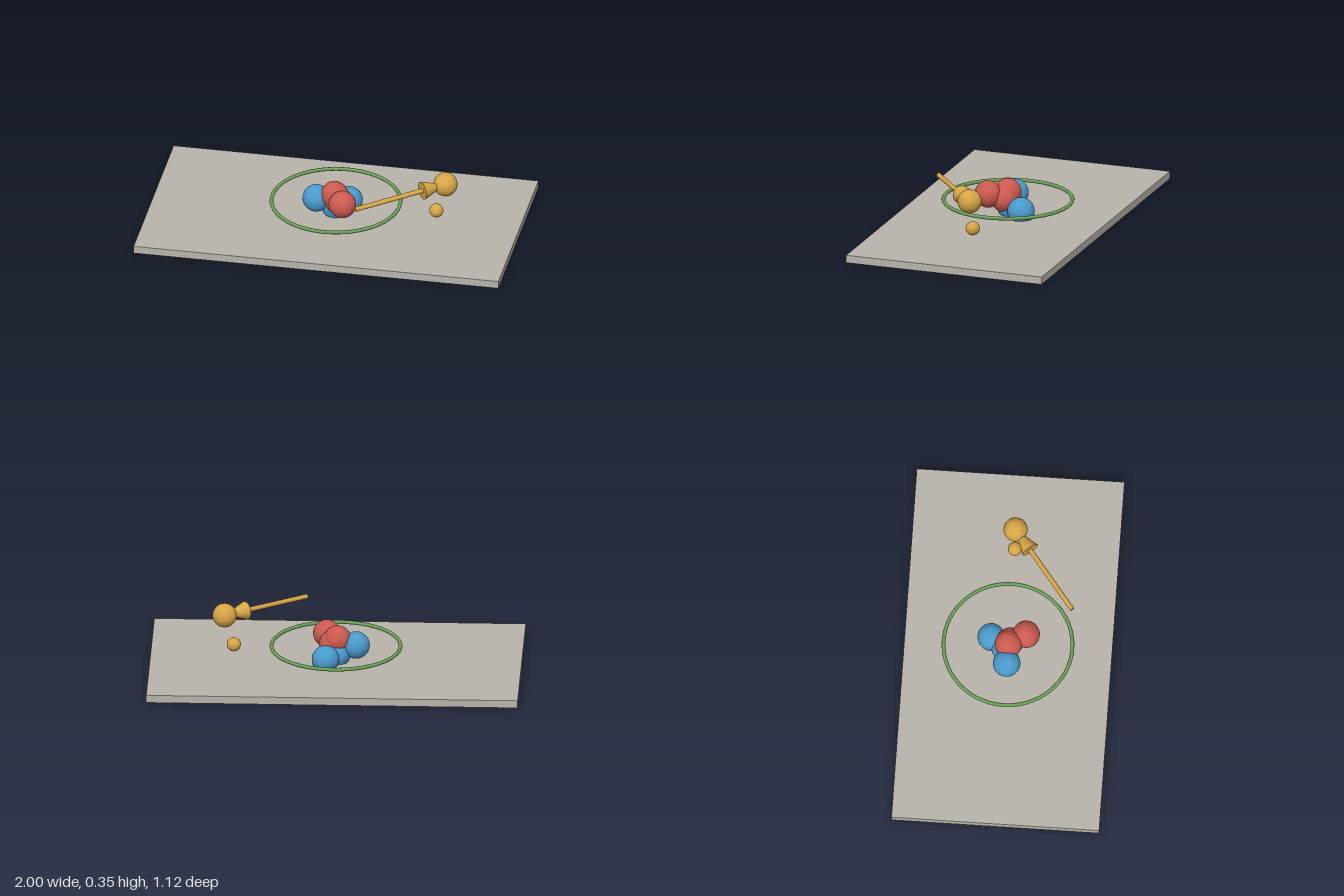
import * as THREE from 'three';

const paint = (name, color) => {
  const m = new THREE.MeshStandardMaterial({ color });
  m.name = name;
  return m;
};

export function createModel() {
  const model = new THREE.Group();
  model.name = 'atomModel';
  const stone = paint('stone grey', 0xb8b4aa);
  const red = paint('red', 0xcb5a4f);
  const blue = paint('blue', 0x4a9acb);
  const green = paint('green', 0x6a9f58);
  const gold = paint('gold', 0xd6a545);

  const add = (parent, name, geometry, material, x = 0, y = 0, z = 0) => {
    const mesh = new THREE.Mesh(geometry, material);
    mesh.name = name;
    mesh.position.set(x, y, z);
    parent.add(mesh);
    return mesh;
  };

  // Base slab
  add(model, 'base', new THREE.BoxGeometry(2, 0.042, 1.12), stone, 0, 0.021, 0);

  // Nucleus: a cluster of protons and neutrons
  const nucleus = new THREE.Group();
  nucleus.name = 'nucleus';
  model.add(nucleus);
  const ball = new THREE.SphereGeometry(0.074, 32, 20);
  const protons = [[-0.008, 0.16, 0.003], [0.053, 0.157, 0.094], [0.018, 0.128, 0.01]];
  const neutrons = [[-0.108, 0.128, 0], [0.053, 0.081, -0.094], [-0.005, 0.081, -0.015]];
  protons.forEach((p) => add(nucleus, 'proton', ball, red, ...p));
  neutrons.forEach((p) => add(nucleus, 'neutron', ball, blue, ...p));

  // Orbit ring lying flat
  const orbit = add(model, 'orbitRing', new THREE.TorusGeometry(0.347, 0.01, 12, 96), green, 0, 0.122, 0);
  orbit.rotation.x = Math.PI / 2;

  // Loose electrons
  add(model, 'smallElectron', new THREE.SphereGeometry(0.038, 32, 20), gold, 0.55, 0.122, 0);
  add(model, 'largeElectron', new THREE.SphereGeometry(0.065, 32, 20), gold, 0.6, 0.289, 0);

  // Arrow running up to the large electron, built along +y and then aimed
  const tail = new THREE.Vector3(0.17, 0.272, 0.335);
  const tip = new THREE.Vector3(0.6, 0.289, 0);
  const length = tail.distanceTo(tip);
  const headLength = 0.14;
  const shaftLength = length - headLength;
  const arrow = new THREE.Group();
  arrow.name = 'arrow';
  add(arrow, 'arrowShaft', new THREE.CylinderGeometry(0.013, 0.013, shaftLength, 20), gold, 0, shaftLength / 2, 0);
  add(arrow, 'arrowHead', new THREE.ConeGeometry(0.05, headLength, 28), gold, 0, length - headLength / 2, 0);
  arrow.position.copy(tail);
  arrow.quaternion.setFromUnitVectors(new THREE.Vector3(0, 1, 0), tip.clone().sub(tail).normalize());
  model.add(arrow);

  return model;
}
